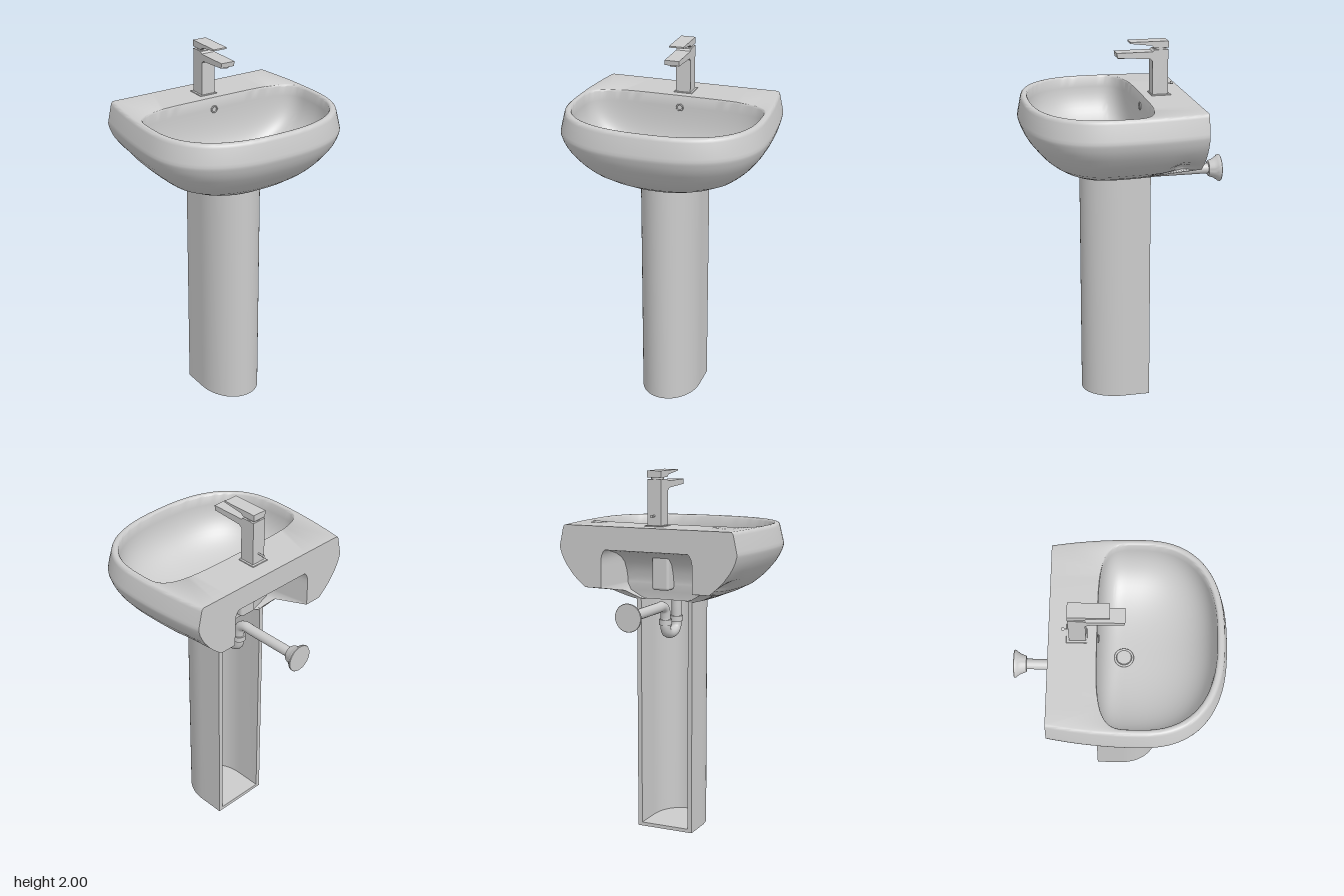
import * as THREE from 'three';
import { toCreasedNormals } from 'three/addons/utils/BufferGeometryUtils.js';
import { RoundedBoxGeometry } from 'three/addons/geometries/RoundedBoxGeometry.js';

const material = new THREE.MeshStandardMaterial({ color: 0xcccccc, side: THREE.DoubleSide });

function add(group, name, geometry, x = 0, y = 0, z = 0) {
  const mesh = new THREE.Mesh(geometry, material);
  mesh.name = name;
  mesh.position.set(x, y, z);
  group.add(mesh);
  return mesh;
}

// Extrude a plan or side outline, sharp between faces and smooth on curves
const extrude = (shape, depth) => toCreasedNormals(
  new THREE.ExtrudeGeometry(shape, { depth, bevelEnabled: false, curveSegments: 20 }), 0.5);

const polygon = (pts) => new THREE.Shape(pts.map(([a, b]) => new THREE.Vector2(a, b)));

// Rounded front of a plan outline, from the front centre to the side
function frontCurve(w, f, zc) {
  const pts = [];
  for (let i = 0; i <= 24; i++) {
    const a = (1 - i / 24) * Math.PI / 2;
    pts.push([w * Math.abs(Math.cos(a)) ** 0.8, zc + (f - zc) * Math.sin(a) ** 0.8]);
  }
  return pts;
}

// Half ring of the outside: front, side with hand recess, back edge, plumbing notch
function outerHalf([y, w, f, b, xi, nz]) {
  const zc = Math.min(0.1, f * 0.25), pts = frontCurve(w, f, zc);
  for (let k = 1; k <= 14; k++) {
    const t = k / 14, z = zc + (b - zc) * t;
    const recess = 0.16 * Math.exp(-(((z + 0.24) / 0.065) ** 2) - ((y - 1.395) / 0.035) ** 2);
    pts.push([w * (1 - 0.075 * t * t) * (1 - recess), z]);
  }
  const corner = pts[pts.length - 1][0];
  for (let k = 1; k <= 3; k++) pts.push([corner + (xi - corner) * k / 3, b]);
  const inner = xi * (1 - 0.6 * (nz - b));
  for (let k = 0; k <= 4; k++) pts.push([inner * (1 - k / 4), nz]);
  return pts;
}

// Half ring of the bowl, scaled by s towards the drain
function bowlHalf(s) {
  const w = 0.497 * s, zc = 0.03 + 0.07 * s, back = 0.03 - 0.135 * s;
  const pts = frontCurve(w, 0.03 + 0.467 * s, zc);
  for (let j = 1; j <= 22; j++) {
    const a = j / 22 * Math.PI / 2, p = 2 / 4.2;
    pts.push([w * Math.abs(Math.cos(a)) ** p, zc + (back - zc) * Math.sin(a) ** p]);
  }
  return pts;
}

function basinGeometry() {
  // y, half width, front z, back z, notch half width, notch depth z
  const rows = [
    [1.30, 0, 0.05, 0.05, 0, 0.05],
    [1.30, 0.19, 0.255, -0.125, 0.13, -0.10],
    [1.312, 0.24, 0.29, -0.13, 0.16, -0.10],
    [1.345, 0.325, 0.35, -0.16, 0.22, -0.105],
    [1.38, 0.395, 0.40, -0.35, 0.265, -0.11],
    [1.39, 0.408, 0.412, -0.35, 0.265, -0.11],
    [1.405, 0.427, 0.43, -0.35, 0.265, -0.11],
    [1.425, 0.45, 0.45, -0.35, 0.265, -0.115],
    [1.45, 0.475, 0.472, -0.35, 0.265, -0.12],
    [1.50, 0.515, 0.512, -0.35, 0.265, -0.14],
    [1.53, 0.533, 0.53, -0.35, 0.265, -0.17],
    [1.555, 0.545, 0.541, -0.35, 0.26, -0.22],
    [1.575, 0.551, 0.548, -0.35, 0.25, -0.29],
    [1.585, 0.554, 0.551, -0.35, 0.24, -0.35],
    [1.595, 0.555, 0.552, -0.35, 0.24, -0.35],
    [1.61, 0.552, 0.55, -0.35, 0.24, -0.35],
    [1.69, 0.533, 0.535, -0.35, 0.24, -0.35],
    [1.702, 0.529, 0.531, -0.35, 0.24, -0.35],
    [1.708, 0.522, 0.525, -0.35, 0.24, -0.35],
    [1.71, 0.514, 0.517, -0.35, 0.24, -0.35],
  ];
  const rings = rows.map((r) => ({ y: r[0], half: outerHalf(r) }));
  rings.push({ y: 1.71, half: bowlHalf(1.022) }, { y: 1.708, half: bowlHalf(1.01) });
  for (let i = 0; i <= 18; i++) {
    const a = i / 18 * Math.PI / 2;
    rings.push({ y: 1.70 - 0.32 * Math.sin(a) ** 0.74, half: bowlHalf(Math.abs(Math.cos(a)) ** 0.74) });
  }
  const position = [], index = [];
  let n = 0;
  for (const { y, half } of rings) {
    const mirrored = half.slice(1, -1).reverse().map(([x, z]) => [-x, z]);
    const ring = [...half, ...mirrored];
    n = ring.length;
    for (const [x, z] of ring) position.push(x, y, z);
  }
  for (let r = 0; r < rings.length - 1; r++) {
    for (let i = 0; i < n; i++) {
      const a = r * n + i, b = r * n + (i + 1) % n;
      index.push(a, b, b + n, a, b + n, a + n);
    }
  }
  const g = new THREE.BufferGeometry();
  g.setAttribute('position', new THREE.Float32BufferAttribute(position, 3));
  g.setIndex(index);
  return toCreasedNormals(g, 0.8);
}

// Plan outline of the pedestal, rounded at the front
function pedestalCurve(path, w, front) {
  path.lineTo(w, 0.02);
  path.bezierCurveTo(w, 0.14, w * 0.55, front, 0, front);
  path.bezierCurveTo(-w * 0.55, front, -w, 0.14, -w, 0.02);
}

function createPedestal() {
  const group = new THREE.Group();
  group.name = 'pedestal';
  const full = new THREE.Shape();
  full.moveTo(0.165, -0.125);
  pedestalCurve(full, 0.165, 0.232);
  full.lineTo(-0.165, -0.125);
  // Open-backed wall
  const inner = new THREE.Path();
  inner.moveTo(0.14, -0.125);
  pedestalCurve(inner, 0.14, 0.207);
  inner.lineTo(-0.14, -0.125);
  const wall = new THREE.Shape([...full.getPoints(20), ...inner.getPoints(20).reverse()]);
  add(group, 'pedestalWall', extrude(wall, 1.305).rotateX(Math.PI / 2), 0, 1.305, 0);
  add(group, 'pedestalFloor', extrude(full, 0.02).rotateX(Math.PI / 2), 0, 0.02, 0);
  return group;
}

// Side profile in (z, y), extruded across x
function sideExtrude(points, width) {
  return extrude(polygon(points.map(([z, y]) => [-z, y])), width)
    .translate(0, 0, -width / 2).rotateY(Math.PI / 2);
}

function createTap() {
  const group = new THREE.Group();
  group.name = 'tap';
  add(group, 'tapBase', new RoundedBoxGeometry(0.104, 0.008, 0.105, 2, 0.003), 0, 1.711, -0.207);
  add(group, 'tapBodyAndSpout', sideExtrude([
    [-0.245, 1.71], [-0.16, 1.71], [-0.16, 1.895], [-0.145, 1.908], [0.03, 1.918],
    [0.034, 1.945], [-0.16, 1.945], [-0.17, 1.955], [-0.245, 1.955]], 0.08));
  add(group, 'aerator', new THREE.CylinderGeometry(0.02, 0.02, 0.01, 24), 0, 1.914, 0.002);
  add(group, 'handleNeck', new THREE.CylinderGeometry(0.034, 0.034, 0.016, 32), 0, 1.96, -0.205);
  add(group, 'handle', sideExtrude([
    [-0.247, 1.965], [-0.17, 1.965], [-0.155, 1.978], [-0.04, 1.992], [-0.04, 2], [-0.247, 2]], 0.08));
  add(group, 'popUpRod', new THREE.CylinderGeometry(0.005, 0.005, 0.04, 12).rotateX(Math.PI / 2), 0, 1.765, -0.26);
  add(group, 'popUpKnob', new THREE.CylinderGeometry(0.008, 0.008, 0.012, 12).rotateX(Math.PI / 2), 0, 1.765, -0.275);
  return group;
}

function createWaste() {
  const group = new THREE.Group();
  group.name = 'waste';
  // Trap and outlet pipe
  const path = new THREE.CatmullRomCurve3([
    [1.36, 0.03], [1.25, 0.03], [1.15, 0.03], [1.125, 0.018], [1.11, -0.015], [1.11, -0.06],
    [1.125, -0.098], [1.15, -0.11], [1.21, -0.11], [1.25, -0.12], [1.27, -0.155], [1.27, -0.21],
    [1.27, -0.35], [1.27, -0.5]].map(([y, z]) => new THREE.Vector3(0, y, z)));
  add(group, 'trapPipe', new THREE.TubeGeometry(path, 90, 0.028, 20));
  for (const [y, z] of [[1.18, 0.03], [1.18, -0.11]]) {
    add(group, 'trapNut', new THREE.CylinderGeometry(0.036, 0.036, 0.03, 24), 0, y, z);
  }
  // Flared wall flange
  const flare = [[0.028, 0], [0.042, 0.001], [0.046, 0.008], [0.053, 0.028], [0.064, 0.046],
    [0.073, 0.056], [0.075, 0.064], [0.073, 0.067], [0, 0.067]].map(([r, h]) => new THREE.Vector2(r, h));
  add(group, 'wallFlange', toCreasedNormals(new THREE.LatheGeometry(flare, 40), 0.6)
    .rotateX(-Math.PI / 2), 0, 1.27, -0.488);
  // Drain in the bowl
  add(group, 'drainRing', new THREE.TorusGeometry(0.046, 0.006, 10, 40).rotateX(Math.PI / 2), 0, 1.386, 0.03);
  add(group, 'drainPlug', new THREE.CylinderGeometry(0.038, 0.042, 0.016, 32), 0, 1.386, 0.03);
  return group;
}

export function createModel() {
  const model = new THREE.Group();
  model.name = 'pedestalWashbasin';
  add(model, 'basin', basinGeometry());
  add(model, 'overflowHousing', new RoundedBoxGeometry(0.1, 0.2, 0.08, 3, 0.015), 0, 1.46, -0.14);
  add(model, 'overflowRing', new THREE.TorusGeometry(0.017, 0.004, 10, 28), 0, 1.645, -0.1);
  model.add(createPedestal(), createTap(), createWaste());
  return model;
}
